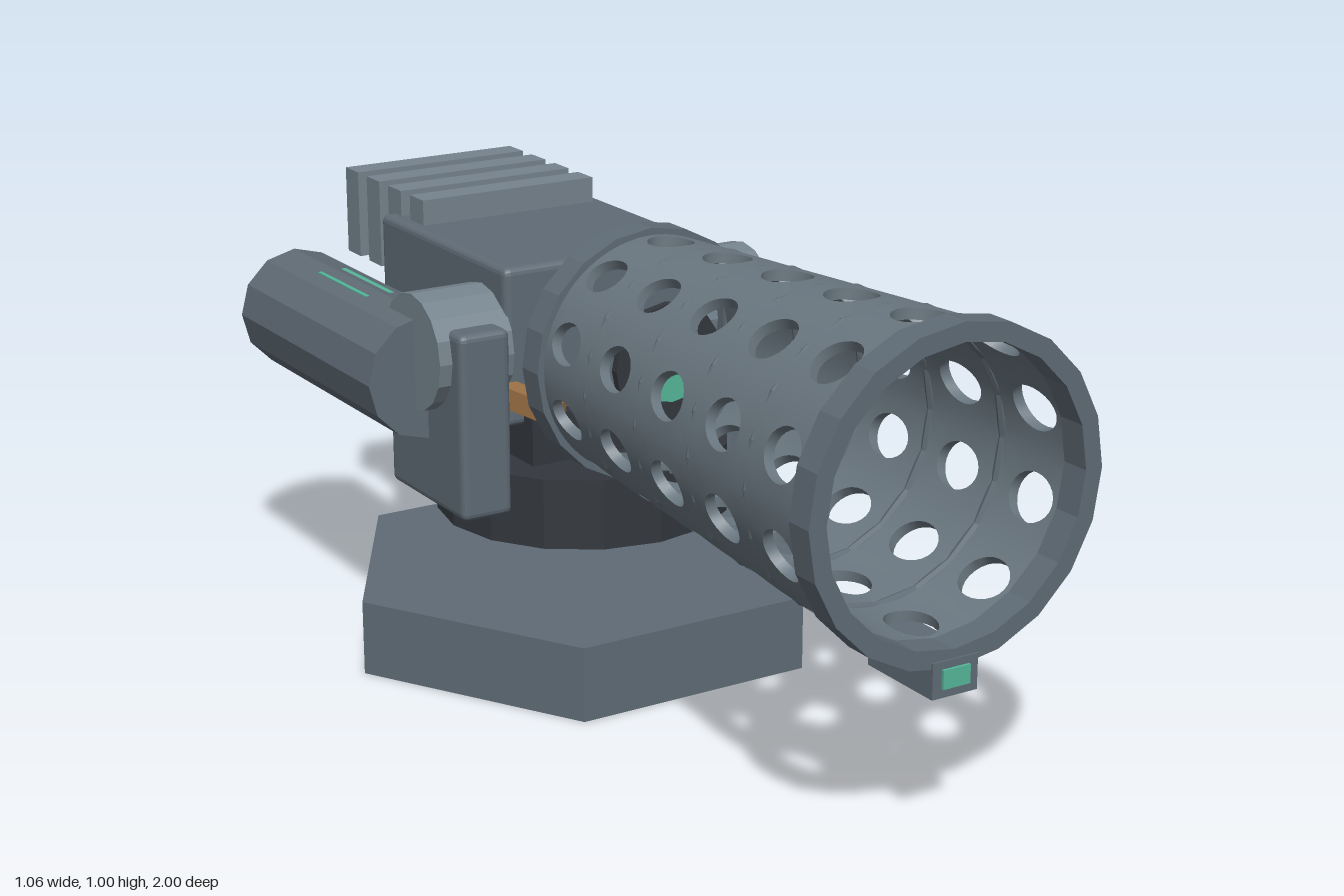
import * as THREE from 'three';
import { mergeGeometries, toCreasedNormals } from 'three/addons/utils/BufferGeometryUtils.js';
import { RoundedBoxGeometry } from 'three/addons/geometries/RoundedBoxGeometry.js';

const mat = (color) => new THREE.MeshStandardMaterial({ color, flatShading: true });
const steel = mat(0x5f6b75), dark = mat(0x33373d), light = mat(0x75838d);
const teal = mat(0x55b598), copper = mat(0x9a7045);
const smoothSteel = new THREE.MeshStandardMaterial({ color: 0x6a7780 });

const AXIS_Y = 0.685; // height of the barrel axis
const shellRadius = (z) => 0.252 + 0.058 * z;

export function createModel() {
  const model = new THREE.Group();

  const add = (name, geometry, material, x = 0, y = 0, z = 0) => {
    const mesh = new THREE.Mesh(geometry, material);
    mesh.name = name;
    mesh.position.set(x, y, z);
    model.add(mesh);
    return mesh;
  };
  // box given by its extents on each axis, optionally with rounded edges
  const box = (name, material, [x0, x1], [y0, y1], [z0, z1], round = 0) => {
    const s = [x1 - x0, y1 - y0, z1 - z0];
    const geo = round ? new RoundedBoxGeometry(...s, 2, round) : new THREE.BoxGeometry(...s);
    return add(name, geo, material, (x0 + x1) / 2, (y0 + y1) / 2, (z0 + z1) / 2);
  };
  // cylinder lying along z
  const rod = (name, material, r, sides, x, y, z0, z1) =>
    add(name, new THREE.CylinderGeometry(r, r, z1 - z0, sides).rotateX(Math.PI / 2),
      material, x, y, (z0 + z1) / 2);
  // flat band around the barrel axis
  const band = (name, inner, outer, z0, z1) => {
    const profile = [[inner, z0], [outer, z0], [outer, z1], [inner, z1], [inner, z0]]
      .map(([r, z]) => new THREE.Vector2(r, z));
    add(name, new THREE.LatheGeometry(profile, 20).rotateX(Math.PI / 2), steel, 0, AXIS_Y, 0);
  };

  // Hexagonal base and turntable
  add('base', new THREE.CylinderGeometry(0.53, 0.53, 0.16, 6).rotateY(Math.PI / 2 * 1)
    .rotateY(Math.PI * 2), steel, 0, 0.08, -0.32);
  add('turntable', new THREE.CylinderGeometry(0.315, 0.315, 0.15, 16), dark, 0, 0.365, -0.315);
  box('neck', dark, [-0.2, 0.2], [0.43, 0.545], [-0.47, -0.175]);

  // Main housing
  box('housing', steel, [-0.24, 0.24], [0.52, 0.857], [-0.77, -0.21], 0.015);

  // Cooling fins above the rear and below the housing
  for (let i = 0; i < 4; i++) {
    const z = -0.655 - i * 0.105;
    box('upperFin', light, [-0.21, 0.21], [0.72, 0.912], [z - 0.031, z + 0.031]);
    const zl = -0.512 - i * 0.078;
    box('lowerFin', dark, [-0.18, 0.18], [0.43, 0.54], [zl - 0.013, zl + 0.013]);
  }

  // Side assemblies, mirrored left and right
  for (const s of [-1, 1]) {
    const span = (a, b) => (s > 0 ? [a, b] : [-b, -a]);
    box('yokeArm', steel, span(0.26, 0.375), [0.355, 0.75], [-0.478, -0.152], 0.015);
    add('pivot', new THREE.CylinderGeometry(0.123, 0.123, 0.17, 16).rotateZ(Math.PI / 2),
      light, s * 0.318, AXIS_Y, -0.31);
    rod('sideTank', steel, 0.132, 12, s * 0.376, 0.63, -0.93, -0.3);
    box('tankLight', teal, span(0.342, 0.408), [0.7, 0.756], [-0.74, -0.51]);

    // Angled strut joining housing and barrel
    const a = new THREE.Vector3(s * 0.25, 0.6, -0.23), b = new THREE.Vector3(s * 0.185, 0.575, -0.09);
    const strut = add('strut', new THREE.BoxGeometry(0.045, 0.045, a.distanceTo(b)), copper);
    strut.position.copy(a).lerp(b, 0.5);
    strut.lookAt(b);
  }

  // Perforated barrel: 10 x 5 cells, each a curved tile around an oval hole
  const cells = [];
  const thickness = 0.022, pitch = 0.205;
  const halfAngle = Math.PI / 10, holeAngle = 0.17, holeZ = 0.057;
  for (let row = 0; row < 5; row++) {
    for (let col = 0; col < 10; col++) {
      const cell = new THREE.PlaneGeometry(1, 1, 24, 5);
      const p = cell.attributes.position;
      for (let i = 0; i < p.count; i++) {
        const k = i % 25, ring = Math.floor(i / 25);
        const t = -(k % 24) / 24 * Math.PI * 2;
        const c = Math.cos(t), d = Math.sin(t), m = Math.max(Math.abs(c), Math.abs(d));
        // rings run tile edge, middle, hole outside, then back inside
        const f = [0, 0.5, 1, 1, 0.5, 0][ring];
        const angle = Math.PI / 2 + col * 2 * halfAngle
          + THREE.MathUtils.lerp(halfAngle * c / m, holeAngle * c, f);
        const z = 0.04 + row * pitch + THREE.MathUtils.lerp(pitch / 2 * d / m, holeZ * d, f);
        const r = shellRadius(z) - (ring > 2 ? thickness : 0);
        p.setXYZ(i, r * Math.cos(angle), r * Math.sin(angle), z);
      }
      cells.push(cell);
    }
  }
  add('barrelShell', toCreasedNormals(mergeGeometries(cells), 0.6), smoothSteel, 0, AXIS_Y, 0);

  // Thin hoops between the rows of holes
  for (let i = 0; i < 4; i++) {
    const z = 0.1425 + i * pitch;
    add('barrelHoop', new THREE.TorusGeometry(shellRadius(z) - thickness / 2, 0.0135, 8, 20),
      steel, 0, AXIS_Y, z);
  }
  band('muzzleRing', 0.283, 0.32, 0.93, 0.99);
  band('rearCollar', 0.227, 0.265, -0.097, -0.035);

  // Emitter inside the barrel
  rod('emitterPlate', dark, 0.125, 16, 0, AXIS_Y, 0.018, 0.036);
  rod('emitterLens', teal, 0.078, 16, 0, AXIS_Y, 0.03, 0.048);

  // Sensor under the muzzle
  box('sensor', steel, [-0.05, 0.05], [0.315, 0.385], [0.8, 0.994]);
  box('sensorLens', teal, [-0.03, 0.03], [0.333, 0.37], [0.98, 1.0]);

  return model;
}
